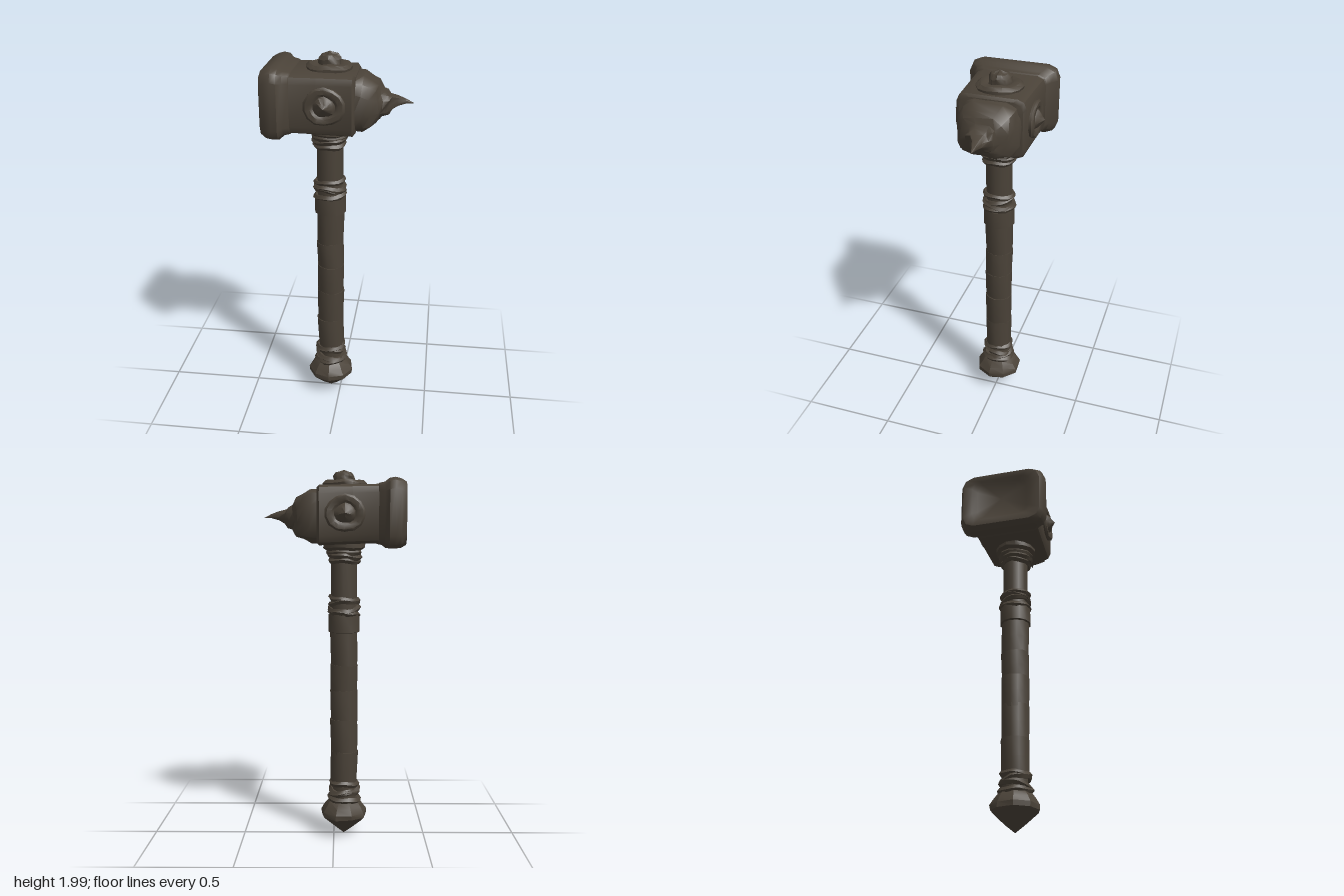
import * as THREE from 'three';
import { toCreasedNormals } from 'three/addons/utils/BufferGeometryUtils.js';

const HX = -0.055; // handle axis
const HY = 1.765;  // head axis

export function createModel() {
  const model = new THREE.Group();
  const iron = new THREE.MeshStandardMaterial({ color: 0x4a4238 });
  iron.name = 'dark iron';

  function add(name, geometry, parent = model, crease = 0.6) {
    const mesh = new THREE.Mesh(toCreasedNormals(geometry, crease), iron);
    mesh.name = name;
    parent.add(mesh);
    return mesh;
  }

  // hammered, uneven surface: moves points in or out around the y axis
  function roughen(geometry, amount, seed) {
    const p = geometry.attributes.position;
    for (let i = 0; i < p.count; i++) {
      const x = p.getX(i), y = p.getY(i), z = p.getZ(i);
      const a = Math.atan2(z, x), r = Math.hypot(x, z);
      if (r < 0.004) continue;
      const n = Math.sin(3 * a + seed * 2.1 + y * 60) * 0.6 + Math.sin(5 * a - seed + y * 95) * 0.4;
      const k = 1 + amount * n / r;
      p.setXYZ(i, x * k, y + amount * 0.6 * Math.sin(4 * a + seed * 1.7), z * k);
    }
    return geometry;
  }

  const lathe = (pts, sides) =>
    new THREE.LatheGeometry(pts.map(([r, y]) => new THREE.Vector2(r, y)), sides);

  // chamfered-rectangle sections [x, centre y, half height, half depth, chamfer, wobble] joined along x
  function loft(sections) {
    const rings = sections.map(([x, cy, h, d, c, w = 0], s) => {
      const ring = [];
      for (let q = 0; q < 4; q++) {
        const sy = q === 0 || q === 3 ? 1 : -1, sz = q < 2 ? 1 : -1;
        let corner = [[h, d - c], [h - c * 0.3, d - c * 0.3], [h - c, d]];
        if (sy * sz < 0) corner.reverse();
        corner.forEach(([y, z], i) => {
          const k = 1 + w * Math.sin((q * 3 + i) * 2.4 + s * 1.9);
          ring.push([x + w * 0.12 * Math.sin((q * 3 + i) * 1.7 + s), cy + sy * y * k, sz * z * k]);
        });
      }
      return ring;
    });
    const pos = [], n = 12;
    for (let i = 0; i + 1 < rings.length; i++) {
      for (let j = 0; j < n; j++) {
        const a = rings[i][j], b = rings[i][(j + 1) % n];
        const c = rings[i + 1][(j + 1) % n], d = rings[i + 1][j];
        pos.push(...a, ...b, ...d, ...b, ...c, ...d);
      }
    }
    const g = new THREE.BufferGeometry();
    g.setAttribute('position', new THREE.Float32BufferAttribute(pos, 3));
    return g;
  }

  // head: striking face with sunken panel, flange and block
  const head = new THREE.Group();
  head.name = 'head';
  model.add(head);
  add('strikingFlange', loft([
    [-0.355, HY, 0.001, 0.001, 0.0005],
    [-0.355, HY, 0.105, 0.14, 0.04],
    [-0.373, HY, 0.125, 0.165, 0.045],
    [-0.373, HY, 0.16, 0.215, 0.06],
    [-0.345, HY, 0.175, 0.232, 0.06],
    [-0.315, HY + 0.002, 0.18, 0.238, 0.06],
    [-0.285, HY, 0.177, 0.235, 0.06],
    [-0.262, HY, 0.16, 0.205, 0.05],
    [-0.235, HY, 0.155, 0.192, 0.045],
    [-0.228, HY, 0.15, 0.18, 0.045],
  ]), head, 0.8);
  add('headBlock', loft([
    [-0.25, HY, 0.15, 0.188, 0.045],
    [-0.1, HY - 0.003, 0.152, 0.182, 0.045],
    [0.075, HY - 0.008, 0.154, 0.177, 0.045],
    [0.088, HY - 0.008, 0.142, 0.163, 0.05],
    [0.088, HY - 0.008, 0.001, 0.001, 0.0005],
  ]), head, 0.7);

  // rough spike boss and its point
  add('spikeBoss', loft([
    [0.07, 1.755, 0.138, 0.152, 0.07, 0.02],
    [0.12, 1.755, 0.137, 0.155, 0.08, 0.04],
    [0.16, 1.753, 0.12, 0.14, 0.08, 0.05],
    [0.195, 1.752, 0.098, 0.118, 0.07, 0.06],
    [0.212, 1.752, 0.065, 0.078, 0.045, 0.07],
    [0.238, 1.752, 0.055, 0.066, 0.035, 0.1],
    [0.255, 1.753, 0.038, 0.045, 0.025, 0.07],
    [0.29, 1.758, 0.023, 0.026, 0.014, 0.04],
    [0.33, 1.757, 0.011, 0.012, 0.006],
    [0.37, 1.748, 0.0005, 0.0005, 0.0002],
  ]), head, 0.7);

  // round bosses on the two sides and on top
  const sideProfile = [[0.104, -0.025], [0.106, 0.008], [0.095, 0.017], [0.07, 0.017],
    [0.056, 0.008], [0.045, 0.02], [0.022, 0.034], [0, 0.052]];
  for (const side of [1, -1]) {
    const boss = add(side > 0 ? 'frontBoss' : 'backBoss',
      roughen(lathe(sideProfile, 14), 0.004, side + 2), head);
    boss.position.set(HX - 0.004, HY, side * 0.182);
    boss.rotation.x = side * Math.PI / 2;
    boss.scale.z = 0.9;
  }
  const topProfile = [[0.113, -0.03], [0.118, 0.018], [0.1, 0.034], [0.075, 0.037],
    [0.057, 0.03], [0.056, 0.055], [0.042, 0.074], [0.02, 0.08], [0, 0.09]];
  add('topBoss', roughen(lathe(topProfile, 16), 0.006, 5), head)
    .position.set(HX, 1.907, -0.003);

  // handle core and overlapping grip wraps
  const handle = new THREE.Group();
  handle.name = 'handle';
  handle.position.x = HX;
  model.add(handle);
  add('shaft', lathe([[0.067, 0.2], [0.066, 1.15], [0.07, 1.25], [0.07, 1.62]], 12), handle, 0.8);
  [[0.28, 0.48], [0.46, 0.66], [0.64, 0.82], [0.8, 0.96], [0.93, 1.16]].forEach(([y0, y1], i) => {
    const h = (y1 - y0) / 2;
    const wrap = add('gripWrap', roughen(lathe(
      [[0.064, -h], [0.072, -h], [0.074, 0], [0.075, h], [0.064, h]], 12), 0.0015, i), handle, 0.7);
    wrap.position.y = (y0 + y1) / 2;
    wrap.rotation.set(0.03 * Math.sin(i * 2), i, 0.035 * Math.cos(i * 3));
  });
  add('gripBand', lathe([[0.068, 1.135], [0.085, 1.14], [0.083, 1.235], [0.068, 1.24]], 12), handle, 0.7);

  // twisted cord bindings: [height, radius, cord thickness, tilt]
  [[1.24, 0.073, 0.017, 0.1], [1.268, 0.074, 0.017, -0.16], [1.293, 0.072, 0.016, 0.14],
    [1.318, 0.073, 0.014, -0.1], [1.52, 0.073, 0.016, -0.1], [1.548, 0.079, 0.018, 0.14],
    [0.295, 0.069, 0.016, 0.08], [0.265, 0.071, 0.017, -0.16], [0.237, 0.071, 0.018, 0.15],
    [0.21, 0.077, 0.018, -0.1]].forEach(([y, r, t, tilt], i) => {
    const g = new THREE.TorusGeometry(r, t, 5, 18).rotateX(Math.PI / 2);
    const cord = add('cordBinding', roughen(g, 0.005, i * 1.3), handle);
    cord.position.y = y;
    cord.rotation.set(tilt * 0.6, i * 1.1, tilt);
  });

  // flared collar under the head
  add('headCollar', roughen(lathe([[0.068, 1.54], [0.088, 1.548], [0.097, 1.567],
    [0.092, 1.576], [0.112, 1.59], [0.113, 1.615], [0.07, 1.625]], 14), 0.004, 4), handle);

  // faceted pommel
  add('pommel', roughen(lathe([[0, 0.004], [0.055, 0.048], [0.112, 0.098], [0.126, 0.112],
    [0.127, 0.138], [0.108, 0.168], [0.086, 0.198], [0.06, 0.215]], 9), 0.003, 2), handle, 0.5);

  return model;
}
